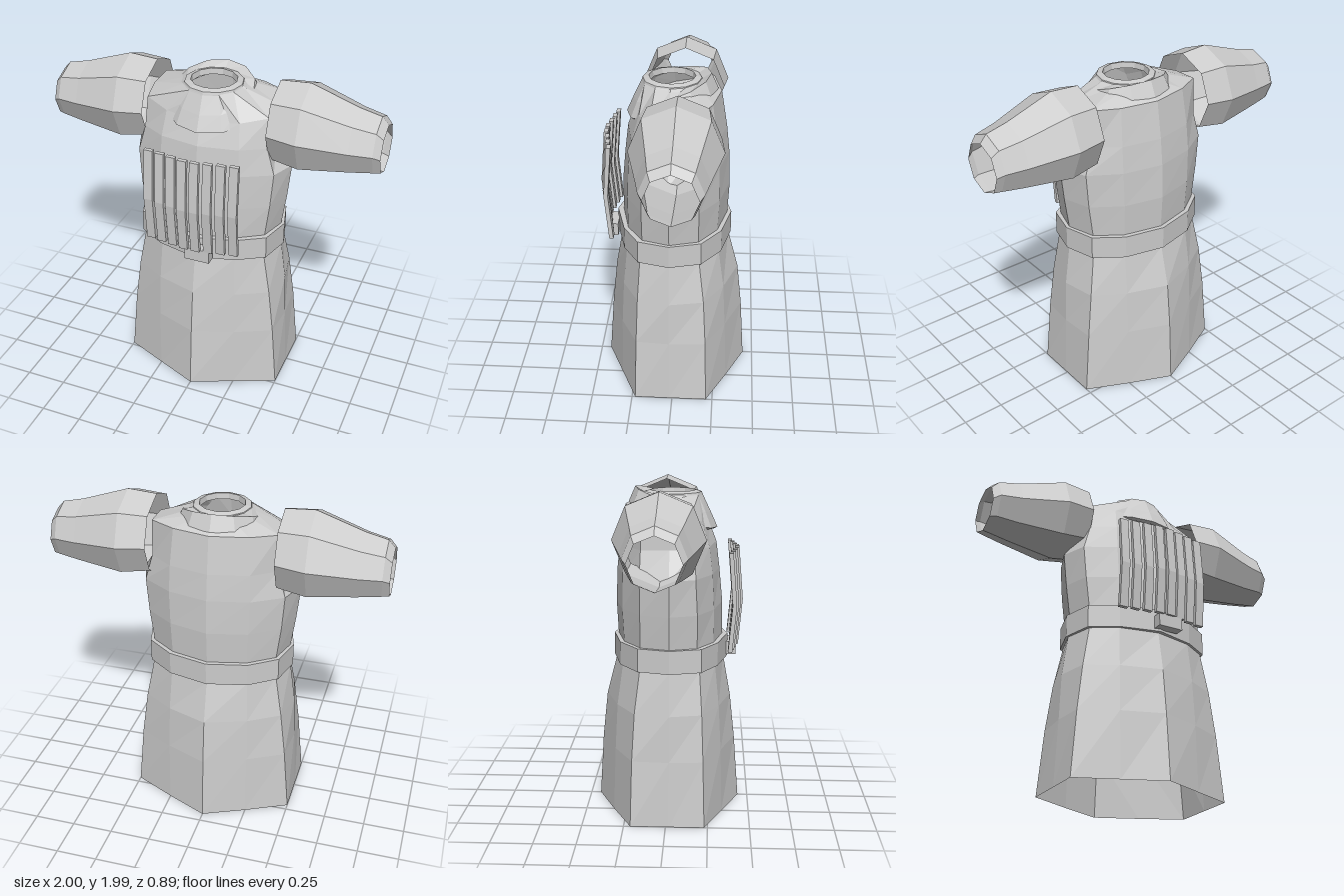
import * as THREE from 'three';

const cloth = new THREE.MeshStandardMaterial({ color: 0xcccccc, flatShading: true, side: THREE.DoubleSide });
cloth.name = 'light grey cloth';

// Skin a stack of closed rings (arrays of [x, y, z]) with quads
function loft(rings) {
  const n = rings[0].length;
  const index = [];
  for (let i = 0; i < rings.length - 1; i++) {
    for (let j = 0; j < n; j++) {
      const k = (j + 1) % n;
      const a = i * n + j, b = i * n + k, c = a + n, d = b + n;
      index.push(a, b, d, a, d, c);
    }
  }
  const geo = new THREE.BufferGeometry();
  geo.setAttribute('position', new THREE.Float32BufferAttribute(rings.flat(2), 3));
  geo.setIndex(index);
  geo.computeVertexNormals();
  return geo;
}

// Twelve-sided body section, mirrored in x; drop lowers the front points
function section([y, side, corner, mid, zF, zFm, zFc, zBc, zBm, zB, drop = 0]) {
  const half = [[0, zF], [mid, zFm], [corner, zFc], [side, 0.02], [corner, zBc], [mid, zBm], [0, zB]];
  const mirrored = half.slice(1, 6).reverse().map(([x, z]) => [-x, z]);
  return [...half, ...mirrored].map(([x, z]) => [x, y - drop * Math.max(0, z) / zF, z]);
}

// Twelve-sided circle around the neck axis
const neckRing = (r, y) => Array.from({ length: 12 }, (_, i) => {
  const a = i * Math.PI / 6;
  return [r * Math.sin(a), y, 0.025 + r * Math.cos(a)];
});

export function createModel() {
  const model = new THREE.Group();
  const add = (name, geo) => {
    const mesh = new THREE.Mesh(geo, cloth);
    mesh.name = name;
    model.add(mesh);
    return mesh;
  };

  // Skirt: six-sided hem, rounding towards the waist
  add('skirt', loft([
    [0, 0.5, 0.5, 0.25, 0.44, 0.335, 0.23, -0.21, -0.33, -0.44],
    [0.4, 0.48, 0.465, 0.25, 0.41, 0.325, 0.22, -0.2, -0.315, -0.415],
    [0.68, 0.47, 0.43, 0.245, 0.38, 0.31, 0.21, -0.185, -0.3, -0.385],
    [0.93, 0.435, 0.385, 0.235, 0.335, 0.285, 0.195, -0.155, -0.265, -0.32],
  ].map(section)));

  // Belt with closed ledges
  const beltOuter = [0.45, 0.4, 0.24, 0.36, 0.3, 0.205, -0.165, -0.28, -0.335];
  const beltInner = [0.42, 0.37, 0.225, 0.31, 0.265, 0.175, -0.14, -0.25, -0.3];
  add('belt', loft([
    [0.93, ...beltInner], [0.93, ...beltOuter], [1.07, ...beltOuter], [1.07, ...beltInner],
  ].map(section)));

  // Torso up to the shoulders, then in to the neck
  add('torso', loft([
    ...[
      [1.07, 0.43, 0.38, 0.23, 0.325, 0.275, 0.18, -0.15, -0.255, -0.31],
      [1.27, 0.458, 0.405, 0.235, 0.325, 0.275, 0.18, -0.15, -0.265, -0.32],
      [1.48, 0.48, 0.42, 0.24, 0.305, 0.265, 0.17, -0.15, -0.26, -0.312],
      [1.64, 0.38, 0.375, 0.235, 0.285, 0.245, 0.165, -0.145, -0.245, -0.295],
      [1.86, 0.375, 0.37, 0.22, 0.235, 0.2, 0.13, -0.14, -0.215, -0.26, 0.09],
    ].map(section),
    neckRing(0.175, 1.922),
  ]));

  // Neck band
  add('neckBand', loft([neckRing(0.175, 1.92), neckRing(0.17, 1.935), neckRing(0.135, 1.945), neckRing(0.13, 1.91)]));

  // Collar flaps, low in front and high at the back
  const rim = (r, lift) => Array.from({ length: 12 }, (_, i) => {
    const a = i * Math.PI / 6, c = Math.cos(a);
    return [r * Math.sin(a), 1.8 - 0.075 * c + lift, 0.025 + (r - 0.01) * c];
  });
  add('collar', loft([rim(0.255, -0.01), rim(0.275, 0), rim(0.235, 0.09), neckRing(0.17, 1.93)]));

  // Open eight-sided sleeves: x, centre y, radius
  const sleeve = [
    [0.375, 1.735, 0.24], [0.55, 1.725, 0.262], [0.83, 1.695, 0.196], [0.96, 1.69, 0.17], [1, 1.67, 0.145],
  ];
  for (const s of [1, -1]) {
    add(s > 0 ? 'leftSleeve' : 'rightSleeve', loft(sleeve.map(([x, y, r]) =>
      Array.from({ length: 8 }, (_, i) => {
        const a = i * Math.PI / 4;
        return [s * x, y + r * Math.cos(a), -0.03 + s * r * Math.sin(a)];
      }))));
  }

  // Chest bars: bent strips standing along a shallow arc
  const profile = new THREE.Shape();
  [[0, 1.02], [0.025, 1.02], [0.05, 1.3], [0.025, 1.61], [0, 1.61], [0.025, 1.3]]
    .forEach(([z, y], i) => (i ? profile.lineTo(z, y) : profile.moveTo(z, y)));
  const barGeo = new THREE.ExtrudeGeometry(profile, { depth: 0.054, bevelEnabled: false });
  barGeo.translate(0, 0, -0.027);
  barGeo.rotateY(-Math.PI / 2);
  for (let i = 0; i < 8; i++) {
    const x = (i - 3.5) * 0.074;
    const bar = add('chestBar' + (i + 1), barGeo);
    bar.position.set(x, 0, 0.398 - 0.013 * (Math.abs(i - 3.5) - 0.5));
  }

  // Buckle, slightly off centre
  const buckle = add('buckle', new THREE.BoxGeometry(0.155, 0.08, 0.06));
  buckle.position.set(0.042, 0.985, 0.38);

  return model;
}
